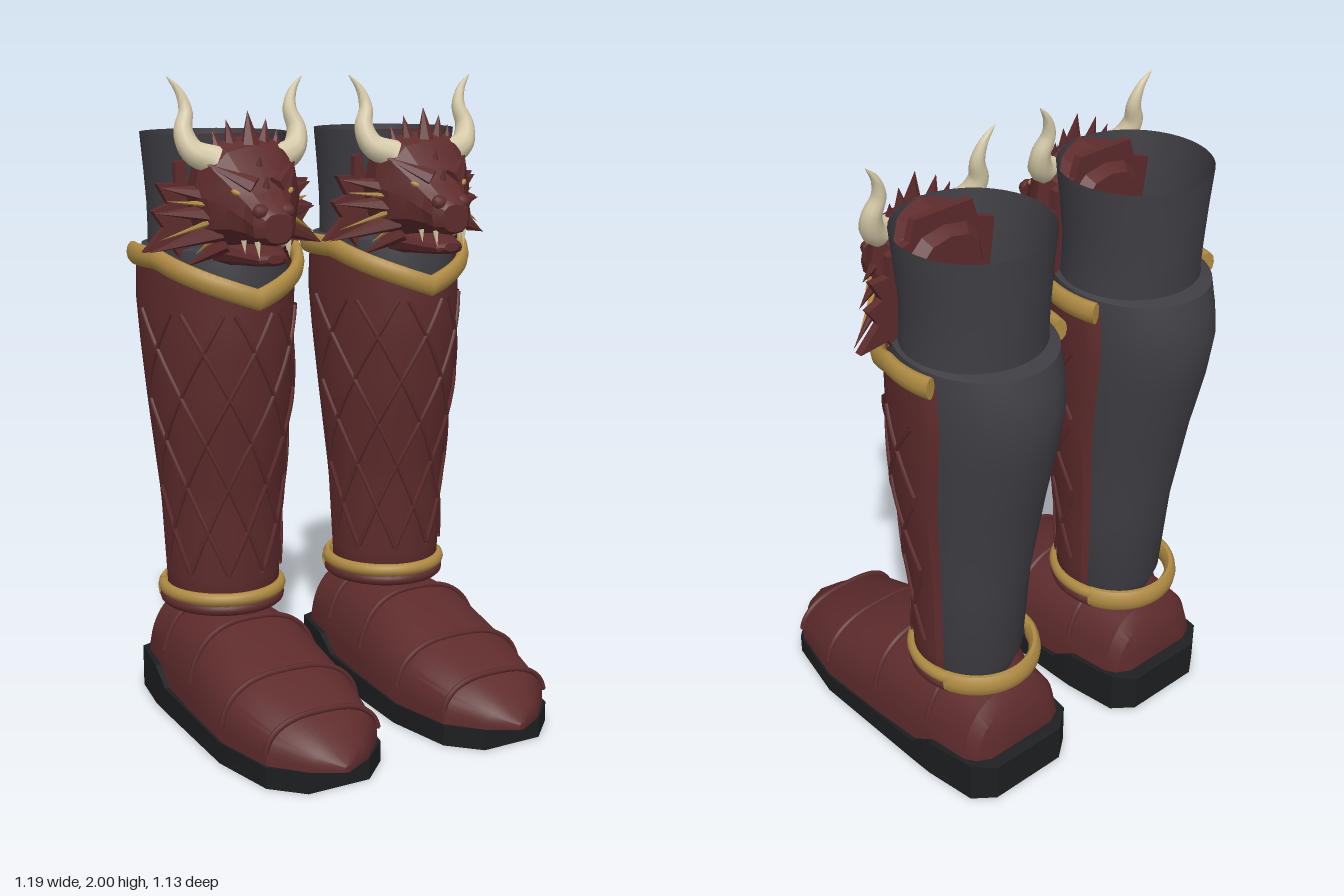
import * as THREE from 'three';
import { toCreasedNormals } from 'three/addons/utils/BufferGeometryUtils.js';

const paint = (name, color, side = THREE.DoubleSide) => {
  const m = new THREE.MeshStandardMaterial({ color, side });
  m.name = name;
  return m;
};
const red = paint('dark red armour', 0x5e2b2c);
const grey = paint('charcoal cloth', 0x3e3e44);
const black = paint('black rubber', 0x1d1e20);
const gold = paint('gold trim', 0xae8a42);
const ivory = paint('ivory horn', 0xd6caa8);
const V = (x, y, z) => new THREE.Vector3(x, y, z);

// Skin over cross-sections of equal length, wrapped and capped on demand
function loft(rings, { wrap = true, caps = true, crease = 0.6 } = {}) {
  const n = rings[0].length, pos = rings.flat(2), idx = [];
  for (let i = 0; i < rings.length - 1; i++)
    for (let j = 0; j < (wrap ? n : n - 1); j++) {
      const k = (j + 1) % n, a = i * n + j, b = i * n + k;
      idx.push(a, b, a + n, b, b + n, a + n);
    }
  if (caps) [0, rings.length - 1].forEach((i) => {
    const c = pos.length / 3;
    for (let d = 0; d < 3; d++) pos.push(rings[i].reduce((s, p) => s + p[d], 0) / n);
    for (let j = 0; j < n; j++) {
      const a = i * n + j, b = i * n + (j + 1) % n;
      idx.push(c, i ? a : b, i ? b : a);
    }
  });
  const g = new THREE.BufferGeometry();
  g.setAttribute('position', new THREE.Float32BufferAttribute(pos, 3));
  g.setIndex(idx);
  return toCreasedNormals(g, crease);
}

function add(group, name, geometry, material) {
  const m = new THREE.Mesh(geometry, material);
  m.name = name;
  group.add(m);
  return m;
}
const tube = (pts, r, n = 24, sides = 6) => new THREE.TubeGeometry(new THREE.CatmullRomCurve3(pts), n, r, sides);

// Pointed cone from base to tip, flattened in one direction
function spike(group, name, base, tip, r, material = red, flat = 0.6) {
  const dir = tip.clone().sub(base), len = dir.length();
  const g = new THREE.ConeGeometry(r, len, 6).translate(0, len / 2, 0).scale(1, 1, flat);
  const m = add(group, name, toCreasedNormals(g, 0.3), material);
  m.quaternion.setFromUnitVectors(V(0, 1, 0), dir.normalize());
  m.position.copy(base);
}

// Leg sections: y, centre z, half-width, half-depth
const CALF = [[0.33, -0.25, 0.13, 0.13], [0.4, -0.25, 0.162, 0.155], [0.7, -0.255, 0.175, 0.178], [1.0, -0.26, 0.205, 0.228],
  [1.2, -0.275, 0.217, 0.262], [1.33, -0.285, 0.222, 0.272], [1.42, -0.28, 0.222, 0.265], [1.49, -0.275, 0.22, 0.25], [1.497, -0.27, 0.21, 0.205]];
const COLLAR = [[1.49, -0.268, 0.21, 0.203], [1.55, -0.272, 0.207, 0.203], [1.62, -0.275, 0.207, 0.205], [1.72, -0.272, 0.215, 0.214], [1.83, -0.27, 0.225, 0.225]];
function onLeg(a, y, off) {
  let i = 0;
  while (i < CALF.length - 2 && CALF[i + 1][0] < y) i++;
  const t = (y - CALF[i][0]) / (CALF[i + 1][0] - CALF[i][0]);
  const [, zc, rx, rz] = CALF[i].map((v, k) => THREE.MathUtils.lerp(v, CALF[i + 1][k], t));
  return [(rx + off) * Math.sin(a), y, zc + (rz + off) * Math.cos(a)];
}
const oval = ([y, zc, rx, rz]) => Array.from({ length: 40 }, (_, j) => {
  const a = j / 40 * Math.PI * 2;
  return [rx * Math.sin(a), y, zc + rz * Math.cos(a)];
});
// Rounded band swept around the leg; at(angle, outward, up) gives each point
function band(a0, a1, halfT, halfH, at, n = 48) {
  return loft(Array.from({ length: n + 1 }, (_, i) => Array.from({ length: 10 }, (_, j) => {
    const f = j / 10 * Math.PI * 2;
    return at(a0 + (a1 - a0) * i / n, -halfT * Math.cos(f), halfH * Math.sin(f));
  })), { crease: 0.9 });
}

// Foot sections: z, half-width, top; the base is flat
const FOOT = [[-0.485, 0.13, 0.2], [-0.465, 0.17, 0.285], [-0.43, 0.19, 0.33], [-0.27, 0.207, 0.342], [-0.03, 0.222, 0.338],
  [0.215, 0.228, 0.252], [0.42, 0.185, 0.195], [0.52, 0.095, 0.125], [0.57, 0.008, 0.085]];
function onFoot([z, w, top], f, off = 0) {
  const c = Math.cos(f), s = Math.max(0, Math.sin(f));
  return [(w + off) * Math.sign(c) * Math.abs(c) ** 0.75, 0.065 + (top + off - 0.065) * s ** 0.75, z];
}

function buildFoot(boot) {
  const sole = [[-0.52, 0.13, 0.125], [-0.47, 0.195, 0.137], [-0.3, 0.222, 0.13], [-0.22, 0.225, 0.08],
    [0.21, 0.235, 0.065], [0.43, 0.19, 0.065], [0.52, 0.1, 0.065]];
  add(boot, 'sole', loft(sole.map(([z, w, t]) => [[w, 0, z], [w, t, z], [-w, t, z], [-w, 0, z]]), { crease: 0.3 }), black);
  add(boot, 'foot', loft(FOOT.map((s) => Array.from({ length: 25 }, (_, j) => onFoot(s, j / 24 * Math.PI))), { crease: 0.5 }), red);
  // raised seams between the foot plates
  [[6, 0.2], [5, 0.2], [4, 0.27], [3, 0.35]].forEach(([i, f]) => {
    const pts = Array.from({ length: 21 }, (_, j) => V(...onFoot(FOOT[i], f + (Math.PI - 2 * f) * j / 20, 0.004)));
    add(boot, 'footSeam', tube(pts, 0.009, 40), red);
  });
}

function buildLeg(boot) {
  add(boot, 'calf', loft(CALF.map(oval), { caps: false, crease: 0.7 }), grey);
  add(boot, 'collar', loft(COLLAR.map(oval), { caps: false, crease: 0.7 }), grey);
  // greave plate with a V-shaped top edge
  const EDGE = 1.9, topY = (a) => 1.35 + 0.115 * Math.min(1, Math.abs(a) / 1.25);
  const rows = Array.from({ length: 25 }, (_, i) => Array.from({ length: 41 }, (_, j) => {
    const a = -EDGE + 2 * EDGE * j / 40;
    return onLeg(a, 0.36 + (topY(a) - 0.36) * i / 24, j % 40 ? 0.018 : 0);
  }));
  add(boot, 'greave', loft(rows, { wrap: false, caps: false, crease: 0.8 }), red);
  // crossed ridges on the greave
  for (const s of [1, -1]) for (let k = -4; k <= 4; k++) {
    const pts = [];
    for (let y = 0.46; y <= 1.34; y += 0.04) {
      const a = s * (k * 0.66 + (y - 0.9) * 2.3);
      if (Math.abs(a) < 1.65 && y < topY(a) - 0.04) pts.push(V(...onLeg(a, y, 0.02)));
    }
    if (pts.length > 2) add(boot, 'greaveRidge', tube(pts, 0.008, pts.length * 2, 5), red);
  }
  add(boot, 'kneeTrim', band(-EDGE, EDGE, 0.02, 0.034, (a, o, u) => {
    const t = Math.min(1, Math.abs(a) / 1.25), p = onLeg(a, topY(a), 0.026 + 0.02 * (1 - t) + o);
    return [p[0], p[1] + u, p[2]];
  }), gold);
  // ankle band: slim gold and red in front, tall gold behind
  const ankle = (y) => (a, o, u) => [(0.185 + o) * Math.sin(a), y + u, -0.26 + (0.195 + o) * Math.cos(a)];
  add(boot, 'ankleTrimFront', band(-2, 2, 0.018, 0.021, ankle(0.393)), gold);
  add(boot, 'ankleStrip', band(-2, 2, 0.013, 0.018, ankle(0.36)), red);
  add(boot, 'ankleTrimBack', band(1.95, Math.PI * 2 - 1.95, 0.019, 0.037, ankle(0.38)), gold);
}

function buildHead(boot) {
  const head = new THREE.Group();
  head.name = 'dragonHead';
  boot.add(head);
  const section = ([z, w, top, bot]) => Array.from({ length: 12 }, (_, j) => {
    const f = j / 12 * Math.PI * 2, c = Math.cos(f), s = Math.sin(f);
    return [w * Math.sign(c) * Math.abs(c) ** 0.8, (top + bot) / 2 + (top - bot) / 2 * Math.sign(s) * Math.abs(s) ** 0.8, z];
  });
  const skull = [[-0.18, 0.11, 1.76, 1.53], [-0.12, 0.16, 1.81, 1.5], [-0.04, 0.17, 1.83, 1.49], [0.01, 0.15, 1.8, 1.5], [0.055, 0.112, 1.735, 1.52],
    [0.1, 0.08, 1.675, 1.525], [0.14, 0.07, 1.645, 1.52], [0.165, 0.045, 1.615, 1.53]];
  const jaw = [[-0.09, 0.13, 1.54, 1.44], [0, 0.1, 1.53, 1.45], [0.08, 0.065, 1.51, 1.455], [0.13, 0.048, 1.5, 1.46], [0.145, 0.025, 1.495, 1.47]];
  add(head, 'skull', loft(skull.map(section), { crease: 0.35 }), red);
  add(head, 'jaw', loft(jaw.map(section), { crease: 0.35 }), red);

  // jagged frill behind the skull
  const half = [[0.1, 1.83], [0.12, 1.77], [0.19, 1.75], [0.19, 1.69], [0.25, 1.69], [0.215, 1.63], [0.265, 1.61],
    [0.23, 1.56], [0.295, 1.49], [0.2, 1.5], [0.17, 1.45], [0.1, 1.46]];
  const outline = [...half, ...half.map(([x, y]) => [-x, y]).reverse()].map(([x, y]) => new THREE.Vector2(x, y));
  const frill = new THREE.ExtrudeGeometry(new THREE.Shape(outline), { depth: 0.025, bevelEnabled: false });
  add(head, 'frill', frill.translate(0, 0, -0.15), red);

  // crown and nose spikes
  spike(head, 'crownSpike', V(0, 1.79, -0.01), V(0, 1.9, -0.03), 0.035);
  [[1.74, 0.05], [1.685, 0.095]].forEach(([y, z]) => spike(head, 'noseSpike', V(0, y - 0.02, z - 0.01), V(0, y + 0.035, z), 0.02));
  for (const s of [1, -1]) {
    const at = (x, y, z) => V(s * x, y, z);
    spike(head, 'crownSpike', at(0.05, 1.79, -0.03), at(0.065, 1.875, -0.04), 0.028);
    spike(head, 'crownSpike', at(0.09, 1.77, -0.03), at(0.105, 1.845, -0.05), 0.026);
    spike(head, 'brow', at(0.035, 1.69, 0.085), at(0.165, 1.765, -0.03), 0.03);
    // cheek spikes with gold ribs
    [[0.11, 1.66, 0.25, 1.68], [0.11, 1.61, 0.265, 1.605], [0.1, 1.56, 0.29, 1.49], [0.08, 1.52, 0.18, 1.44]].forEach(([x, y, tx, ty], i) => {
      spike(head, 'cheekSpike', at(x, y, 0), at(tx, ty, -0.11), 0.036);
      if (i) spike(head, 'frillRib', at(x + 0.03, y + 0.025, -0.005), at(tx - 0.03, ty + 0.035, -0.1), 0.01, gold, 1);
    });
    // face
    const eye = add(head, 'eye', new THREE.SphereGeometry(0.016, 10, 6).scale(1, 0.5, 0.5), gold);
    eye.position.copy(at(0.088, 1.672, 0.071));
    eye.rotation.set(0, s * 0.7, s * 0.4);
    const nostril = add(head, 'nostril', new THREE.SphereGeometry(0.026, 8, 6), red);
    nostril.position.copy(at(0.042, 1.618, 0.135));
    spike(head, 'fang', at(0.05, 1.535, 0.13), at(0.048, 1.485, 0.138), 0.01, ivory, 1);
    spike(head, 'fang', at(0.07, 1.535, 0.08), at(0.068, 1.495, 0.085), 0.009, ivory, 1);

    // S-curved horn, tapering to a point
    const curve = new THREE.CatmullRomCurve3([at(0.1, 1.755, -0.03), at(0.165, 1.785, -0.055), at(0.185, 1.84, -0.075),
      at(0.17, 1.9, -0.09), at(0.185, 1.955, -0.1), at(0.22, 1.998, -0.107)]);
    const g = new THREE.TubeGeometry(curve, 24, 0.046, 10), p = g.attributes.position, v = V();
    for (let i = 0; i < p.count; i++) {
      const t = Math.floor(i / 11) / 24, c = curve.getPointAt(t);
      v.fromBufferAttribute(p, i).sub(c).multiplyScalar(Math.max(0.02, (1 - t) ** 0.75)).add(c);
      p.setXYZ(i, v.x, v.y, v.z);
    }
    add(head, 'horn', toCreasedNormals(g, 0.8), ivory);
  }
}

export function createModel() {
  const model = new THREE.Group();
  model.name = 'armouredBoots';
  for (const side of [1, -1]) {
    const boot = new THREE.Group();
    boot.name = side > 0 ? 'leftBoot' : 'rightBoot';
    boot.position.x = side * 0.302;
    buildFoot(boot);
    buildLeg(boot);
    buildHead(boot);
    model.add(boot);
  }
  return model;
}
